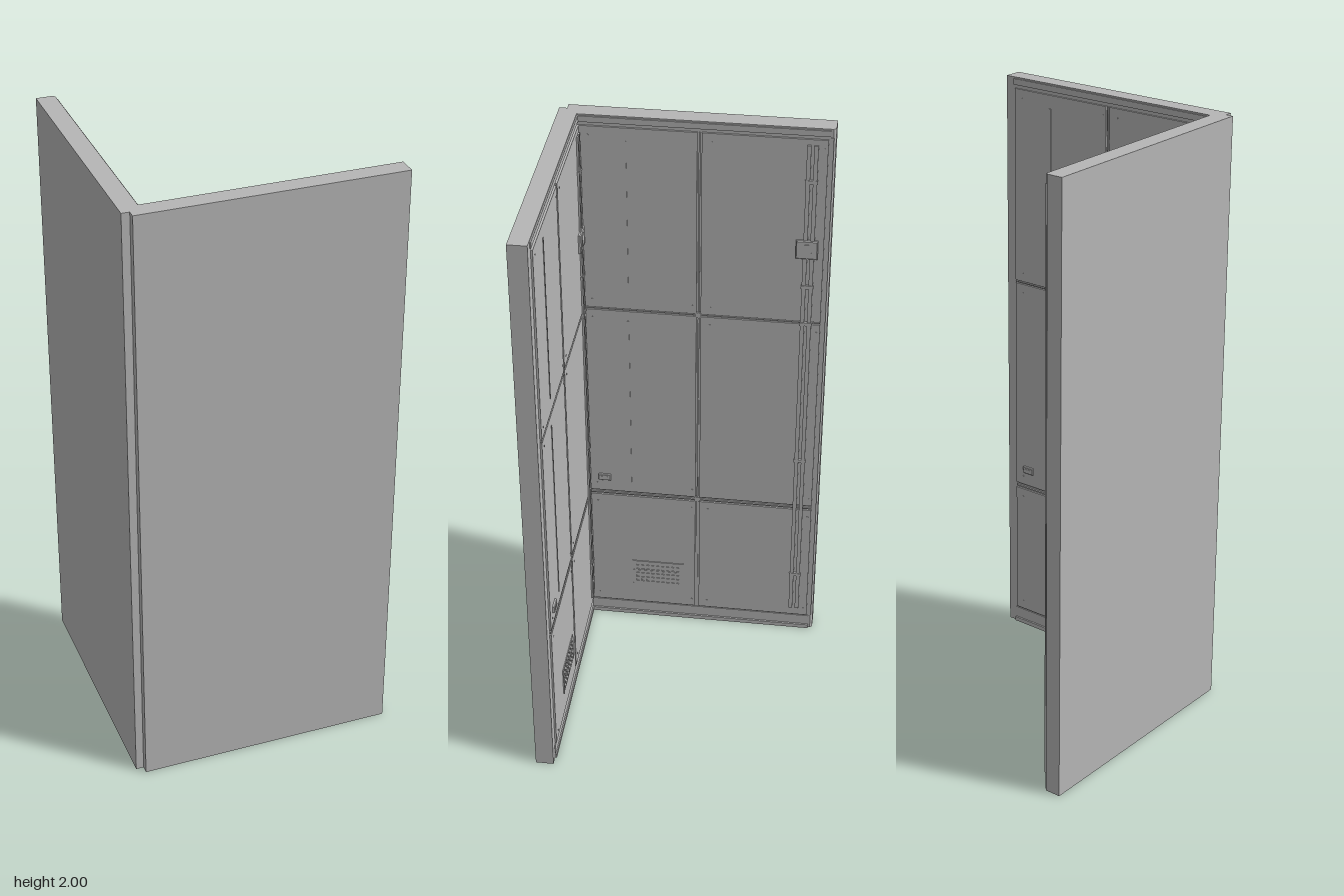
import * as THREE from 'three';

const panelGrey = new THREE.MeshStandardMaterial({ color: 0xb6b6b6 });
panelGrey.name = 'panelGrey';

const FACE = -0.37;   // inner surface of the wall core
const PANEL = -0.364; // inner surface of the lining panels

function add(group, name, geometry) {
  const mesh = new THREE.Mesh(geometry, panelGrey);
  mesh.name = name;
  group.add(mesh);
  return mesh;
}

// Box given by its limits on each axis
function block(group, name, x0, x1, y0, y1, z0, z1) {
  const g = new THREE.BoxGeometry(x1 - x0, y1 - y0, z1 - z0);
  g.translate((x0 + x1) / 2, (y0 + y1) / 2, (z0 + z1) / 2);
  return add(group, name, g);
}

// Plate lying on the lining, drawn in (z, y), with its thickness along +x
function plate(group, name, shape, thickness, x, y, z, bevel = 0) {
  const g = new THREE.ExtrudeGeometry(shape, {
    depth: thickness - bevel, bevelEnabled: bevel > 0, bevelSize: bevel,
    bevelThickness: bevel, bevelOffset: -bevel, bevelSegments: 1, curveSegments: 4,
  });
  g.rotateY(Math.PI / 2);
  const mesh = add(group, name, g);
  mesh.position.set(x, y, z);
  return mesh;
}

function rect(w, h, cx = 0, cy = 0, Type = THREE.Shape) {
  const s = new Type();
  s.moveTo(cx - w / 2, cy - h / 2);
  s.lineTo(cx + w / 2, cy - h / 2);
  s.lineTo(cx + w / 2, cy + h / 2);
  s.lineTo(cx - w / 2, cy + h / 2);
  s.closePath();
  return s;
}

function makeWall() {
  const wall = new THREE.Group();

  // Solid core with a chamfered free edge
  const outline = new THREE.Shape();
  [[-0.43, -0.405], [FACE, -0.405], [FACE, 0.422], [-0.378, 0.43], [-0.43, 0.43]]
    .forEach(([x, y], i) => (i ? outline.lineTo(x, y) : outline.moveTo(x, y)));
  outline.closePath();
  const core = new THREE.ExtrudeGeometry(outline, { depth: 2, bevelEnabled: false });
  core.rotateX(-Math.PI / 2);
  add(wall, 'wallCore', core);

  // Rails around the lining
  block(wall, 'bottomTrack', FACE - 0.005, PANEL, 0, 0.015, -0.415, 0.375);
  block(wall, 'skirting', FACE - 0.005, -0.367, 0.02, 0.056, -0.415, 0.375);
  block(wall, 'topRail', FACE - 0.005, -0.366, 1.975, 1.995, -0.415, 0.375);
  block(wall, 'edgePost', FACE - 0.005, -0.367, 0.06, 1.97, -0.424, -0.415);

  // Lining panels in two columns and three rows
  const rows = [[0.062, 0.537], [0.556, 1.297], [1.307, 1.964]];
  const columns = [[-0.408, -0.019], [-0.005, 0.367]];
  for (const [y0, y1] of rows) {
    for (const [z0, z1] of columns) {
      block(wall, 'liningPanel', FACE - 0.005, PANEL, y0, y1, z0, z1);
      // Corner screws
      for (const y of [y0 + 0.03, y1 - 0.03]) {
        for (const z of [z0 + 0.012, z1 - 0.03]) {
          const screw = new THREE.CylinderGeometry(0.003, 0.003, 0.0015, 8);
          screw.rotateZ(-Math.PI / 2);
          add(wall, 'screw', screw).position.set(PANEL + 0.0005, y, z);
        }
      }
    }
  }

  // Joint strips standing in the gaps
  block(wall, 'verticalJoint', FACE - 0.005, -0.3655, 0.062, 1.964, -0.0145, -0.0095);
  block(wall, 'lowerJoint', FACE - 0.005, -0.3655, 0.543, 0.55, -0.408, 0.367);
  block(wall, 'upperJoint', FACE - 0.005, -0.3655, 1.3, 1.304, -0.408, 0.367);
  for (const y of [0.5465, 1.302]) {
    block(wall, 'jointCover', FACE, PANEL + 0.001, y - 0.009, y + 0.009, -0.021, -0.003);
  }

  // Narrow vertical strips on the corner-side panels
  for (const [y0, y1] of [[0.6, 1.26], [1.36, 1.92]]) {
    block(wall, 'accentStrip', PANEL - 0.001, PANEL + 0.002, y0, y1, 0.217, 0.223);
  }

  // Pair of conduits with clips and a switch box
  for (const z of [-0.35, -0.372]) {
    block(wall, 'conduit', PANEL - 0.001, PANEL + 0.006, 0.095, 1.945, z - 0.0065, z + 0.0065);
  }
  for (const y of [0.25, 0.75, 1.3, 1.44, 1.82]) {
    block(wall, 'conduitClip', PANEL - 0.001, PANEL + 0.0075, y - 0.006, y + 0.006, -0.381, -0.341);
  }
  plate(wall, 'switchBox', rect(0.07, 0.066), 0.01, PANEL - 0.001, 1.578, -0.355, 0.003);
  plate(wall, 'switchButton', rect(0.03, 0.04), 0.002, PANEL + 0.009, 1.578, -0.355);

  // Small socket near the other edge
  plate(wall, 'socketBox', rect(0.042, 0.024), 0.009, PANEL - 0.001, 0.615, 0.311, 0.002);
  plate(wall, 'socketInsert', rect(0.022, 0.01), 0.002, PANEL + 0.007, 0.615, 0.311);

  // Perforated vent plate with folded ends
  const vent = rect(0.18, 0.1);
  for (let i = 0; i < 9; i++) {
    for (let j = 0; j < 5; j++) {
      vent.holes.push(rect(0.01, 0.009, (i - 4) * 0.018, (j - 2) * 0.018, THREE.Path));
    }
  }
  plate(wall, 'ventPlate', vent, 0.003, PANEL, 0.2, 0.128);
  for (const z of [0.038, 0.218]) {
    block(wall, 'ventEnd', PANEL, PANEL + 0.004, 0.148, 0.252, z - 0.002, z + 0.002);
  }
  block(wall, 'ventBar', PANEL, PANEL + 0.004, 0.2, 0.21, 0.05, 0.216);

  return wall;
}

export function createModel() {
  const model = new THREE.Group();
  model.name = 'cornerWalls';

  const sideWall = makeWall();
  sideWall.name = 'sideWall';

  // The same wall turned a quarter to close the front
  const frontWall = makeWall();
  frontWall.name = 'frontWall';
  frontWall.rotation.y = Math.PI / 2;
  frontWall.position.x = 0.025;

  model.add(sideWall, frontWall);
  return model;
}
